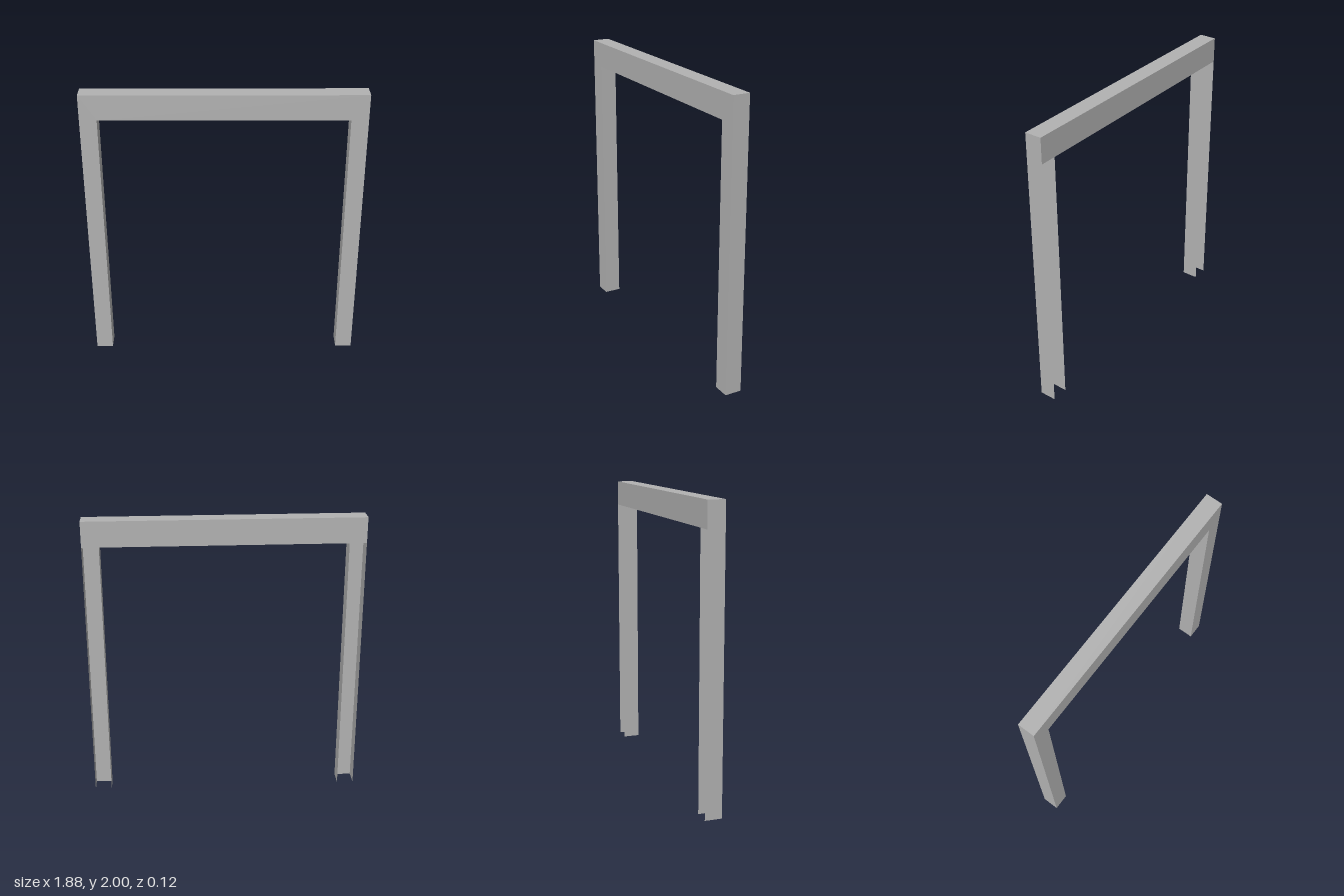
import * as THREE from 'three';

const HALF_W = 0.94;   // outer half width
const INNER = 0.825;   // half width of the opening
const TOP = 2;
const HEAD = 1.825;    // underside of the head
const HALF_D = 0.058;  // half depth

export function createModel() {
  const group = new THREE.Group();
  group.name = 'doorFrame';
  const sheet = new THREE.MeshStandardMaterial({ color: 0xb2b2b2, side: THREE.DoubleSide });
  sheet.name = 'greySheet';

  const add = (name, geometry, x = 0, y = 0, z = 0) => {
    const mesh = new THREE.Mesh(geometry, sheet);
    mesh.name = name;
    mesh.position.set(x, y, z);
    group.add(mesh);
  };

  // Front face: one portal-shaped sheet
  const portal = new THREE.Shape([
    [-HALF_W, 0], [-INNER, 0], [-INNER, HEAD], [INNER, HEAD],
    [INNER, 0], [HALF_W, 0], [HALF_W, TOP], [-HALF_W, TOP],
  ].map(([x, y]) => new THREE.Vector2(x, y)));
  add('frontFace', new THREE.ShapeGeometry(portal), 0, 0, HALF_D);

  // Head channel: back and top sheets, open underneath
  add('headBack', new THREE.PlaneGeometry(2 * HALF_W, TOP - HEAD).rotateY(Math.PI),
    0, (TOP + HEAD) / 2, -HALF_D);
  add('headTop', new THREE.PlaneGeometry(2 * HALF_W, 2 * HALF_D).rotateX(-Math.PI / 2), 0, TOP, 0);

  // Leg channels: outer and inner flanges, open at the back
  for (const [side, label] of [[1, 'left'], [-1, 'right']]) {
    const flange = (facing) => new THREE.PlaneGeometry(2 * HALF_D, TOP).rotateY(facing * Math.PI / 2);
    add(label + 'LegOuterFlange', flange(side), side * HALF_W, TOP / 2, 0);
    add(label + 'LegInnerFlange', flange(-side), side * INNER, TOP / 2, 0);
  }
  return group;
}
